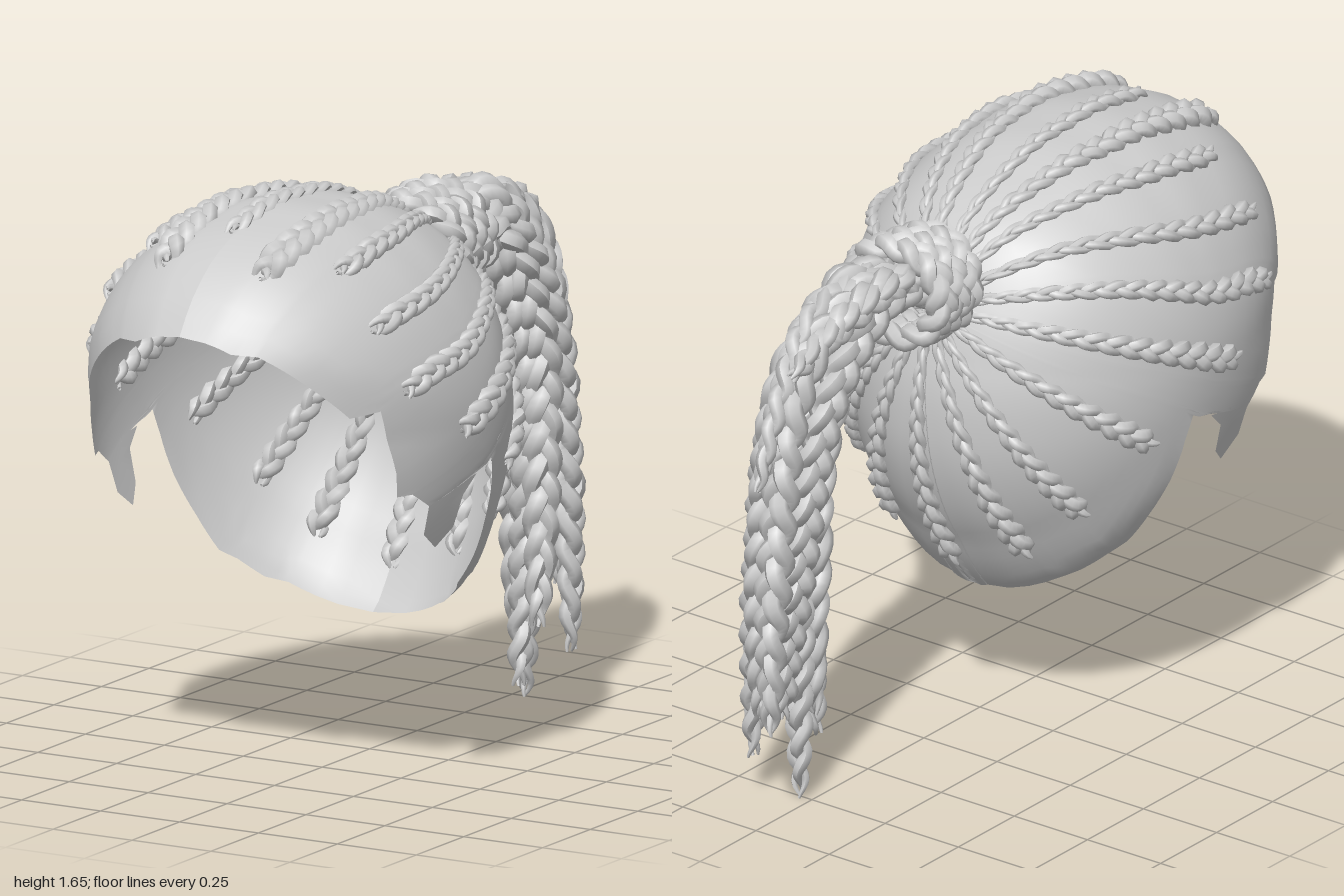
import * as THREE from 'three';

const V = (x, y, z) => new THREE.Vector3(x, y, z);
const material = new THREE.MeshStandardMaterial({ color: 0xcccccc, side: THREE.DoubleSide });
const CZ = 0.35, CY = 1.05, HALF_WIDTH = 0.55;

// Middle outline of the head as [z, y], from below the face over the top to the nape
const outline = [[0.55, 0.36], [0.85, 0.55], [1.0, 1.05], [1.0, 1.35], [0.935, 1.44], [0.84, 1.52], [0.75, 1.565], [0.6, 1.6],
  [0.35, 1.612], [0.1, 1.565], [-0.08, 1.475], [-0.19, 1.32], [-0.25, 1.15], [-0.275, 0.95], [-0.24, 0.74], [-0.15, 0.56],
  [-0.03, 0.38], [0.2, 0.34]]
  .map(([z, y]) => {
    const a = Math.atan2(y - CY, z - CZ);
    return [a < -Math.PI / 2 ? a + Math.PI * 2 : a, Math.hypot(z - CZ, y - CY)];
  });

// Radius of the outline at an angle around the head centre
function radius(angle) {
  const a = angle < outline[0][0] ? angle + Math.PI * 2 : angle;
  for (let i = 1; i < outline.length; i++) {
    const [a0, r0] = outline[i - 1], [a1, r1] = outline[i];
    if (a <= a1) return r0 + (r1 - r0) * (a - a0) / (a1 - a0);
  }
  return outline[outline.length - 1][1];
}

// Side position [z, y] to a unit sphere direction, and back to the head surface
function toSphere(z, y, side = 1) {
  const a = Math.atan2(y - CY, z - CZ);
  const s = Math.min(1, Math.hypot(z - CZ, y - CY) / radius(a));
  return V(side * Math.sqrt(1 - s * s), s * Math.sin(a), s * Math.cos(a));
}
function toHead(q, lift = 1) {
  const r = radius(Math.atan2(q.y, q.z)) * lift;
  return V(q.x * HALF_WIDTH * lift, CY + q.y * r, CZ + q.z * r);
}
const root = toSphere(-0.22, 1.28).setX(0).normalize();
function arc(end, t) {
  const w = root.angleTo(end);
  return root.clone().multiplyScalar(Math.sin((1 - t) * w) / Math.sin(w)).addScaledVector(end, Math.sin(t * w) / Math.sin(w));
}

function surface(name, pos, index) {
  const g = new THREE.BufferGeometry();
  g.setAttribute('position', new THREE.Float32BufferAttribute(pos, 3));
  g.setIndex(index);
  g.computeVertexNormals();
  const mesh = new THREE.Mesh(g, material);
  mesh.name = name;
  return mesh;
}

// Hair cap fanned out from the tie to a ragged hairline
function makeCap() {
  const hairline = [[1.0, 1.35], [0.98, 1.315], [0.95, 1.31], [0.88, 1.23], [0.79, 1.13], [0.71, 1.14], [0.69, 1.06], [0.66, 0.96],
    [0.65, 0.89], [0.6, 0.89], [0.53, 0.845], [0.25, 0.93], [0.23, 0.86], [0.21, 0.74], [0.18, 0.63],
    [0.165, 0.54], [0.12, 0.51], [0.08, 0.46], [0.03, 0.44], [-0.02, 0.37], [-0.05, 0.41]];
  const ends = [];
  for (let i = 0; i < hairline.length - 1; i++)
    for (let k = 0; k < 4; k++) {
      const [z0, y0] = hairline[i], [z1, y1] = hairline[i + 1];
      ends.push(toSphere(z0 + (z1 - z0) * k / 4, y0 + (y1 - y0) * k / 4));
    }
  ends[0].setX(0).normalize();
  ends.push(toSphere(-0.05, 0.41).setX(0).normalize());
  for (let i = ends.length - 2; i >= 0; i--) ends.push(ends[i].clone().multiply(V(-1, 1, 1)));

  const rows = 28, pos = [], index = [];
  ends.forEach((end, i) => {
    for (let j = 0; j <= rows; j++) {
      pos.push(...toHead(arc(end, j / rows)).toArray());
      if (i < ends.length - 1 && j < rows) {
        const a = i * (rows + 1) + j, b = a + rows + 1;
        index.push(a, a + 1, b, a + 1, b + 1, b);
      }
    }
  });
  return surface('hairCap', pos, index);
}

// Sideburn hanging in front of the ear, as a fan around its middle
function makeSideburn(side) {
  const rim = [[0.53, 0.85], [0.52, 0.76], [0.45, 0.71], [0.395, 0.76], [0.385, 0.85], [0.33, 0.9], [0.42, 0.89]];
  const pos = [[0.45, 0.83], ...rim].flatMap(([z, y]) => toHead(toSphere(z, y, side)).toArray());
  const index = rim.flatMap((_, i) => {
    const a = i + 1, b = (i + 1) % rim.length + 1;
    return side > 0 ? [0, b, a] : [0, a, b];
  });
  return surface(side > 0 ? 'leftSideburn' : 'rightSideburn', pos, index);
}

// One of the three strands woven around a base path
class Strand extends THREE.Curve {
  constructor(path, facing, width, turns, phase) {
    super();
    Object.assign(this, { path, facing, width, turns, phase });
  }
  getUtoTmapping(u) { return u; }
  getPoint(t) {
    const p = this.path.getPointAt(t), tan = this.path.getTangentAt(t);
    const side = tan.clone().cross(this.facing(p, tan)).normalize();
    const out = side.clone().cross(tan).normalize();
    const f = t * this.turns * Math.PI * 2 + this.phase, w = this.width(t);
    return p.addScaledVector(side, 0.54 * w * Math.sin(f)).addScaledVector(out, 0.34 * w * Math.sin(2 * f));
  }
}

// Three-strand braid; width is the half width along the path, facing its outward side
function makeBraid(name, path, facing, width, period, taper = true) {
  const group = new THREE.Group();
  group.name = name;
  const turns = Math.max(3, Math.round(path.getLength() / period)), segments = turns * 20;
  for (let k = 0; k < 3; k++) {
    const g = new THREE.TubeGeometry(new Strand(path, facing, width, turns, k * Math.PI * 2 / 3), segments, 0.001, 6);
    const p = g.attributes.position, n = g.attributes.normal;
    for (let i = 0; i < p.count; i++) {
      const t = Math.floor(i / 7) / segments;
      const tip = taper ? Math.min(1, 0.2 + (1 - t) * 14) : 1;
      const r = width(t) * 0.52 * tip;
      p.setXYZ(i, p.getX(i) + n.getX(i) * r, p.getY(i) + n.getY(i) * r, p.getZ(i) + n.getZ(i) * r);
    }
    g.computeVertexNormals();
    const mesh = new THREE.Mesh(g, material);
    mesh.name = 'strand';
    group.add(mesh);
  }
  return group;
}

export function createModel() {
  const model = new THREE.Group();
  model.name = 'braidedHair';
  model.add(makeCap(), makeSideburn(1), makeSideburn(-1));

  // Braids lying on the cap, ending at side positions [z, y] with a half width
  const headOut = p => V(p.x, p.y - CY, p.z - CZ).normalize();
  const capBraid = (end, thick) => {
    const pts = [];
    for (let i = 0; i <= 12; i++) pts.push(toHead(arc(end, 0.03 + 0.97 * i / 12), 1.005));
    model.add(makeBraid('capBraid', new THREE.CatmullRomCurve3(pts), headOut, t => 0.012 + (thick - 0.012) * Math.min(1, t * 1.2), 0.2));
  };
  const pairs = [[0.83, 1.495, 0.046], [0.66, 1.495, 0.033], [0.68, 1.35, 0.033], [0.64, 1.18, 0.036], [0.43, 1.04, 0.04],
    [0.12, 0.88, 0.036], [-0.02, 0.69, 0.036], [-0.08, 0.55, 0.038]];
  for (const side of [1, -1]) for (const [z, y, thick] of pairs) capBraid(toSphere(z, y, side), thick);
  capBraid(toSphere(0.7, 1.57).setX(-0.03).normalize(), 0.03);
  capBraid(toSphere(-0.11, 0.48).setX(0).normalize(), 0.036);

  // Braided tie wound around the root of the ponytail
  for (let k = 0; k < 3; k++) {
    const centre = V(0.01, 1.36 + k * 0.004, -0.235 - k * 0.055);
    const up = V(0, 0.95, 0.36 - k * 0.13).normalize(), pts = [];
    for (let i = 0; i < 16; i++) {
      const a = i * Math.PI / 8;
      pts.push(centre.clone().add(V(0.145 * Math.cos(a), 0, 0)).addScaledVector(up, 0.125 * Math.sin(a)));
    }
    model.add(makeBraid('tieBraid', new THREE.CatmullRomCurve3(pts, true), p => p.clone().sub(centre).normalize(), () => 0.046, 0.22, false));
  }

  // Ponytail braids as [x, y, z] waypoints from the tie to the tip
  const tails = [
    [[0.09, 1.32, -0.46], [0.13, 1.0, -0.6], [0.14, 0.55, -0.6], [0.14, 0.08, -0.55]],
    [[0.13, 1.35, -0.46], [0.17, 1.05, -0.61], [0.19, 0.65, -0.59], [0.22, 0.26, -0.52]],
    [[0.0, 1.36, -0.48], [0.02, 1.1, -0.66], [0.04, 0.6, -0.7], [0.05, 0.22, -0.68]],
    [[0.05, 1.41, -0.5], [0.07, 1.12, -0.71], [0.05, 0.6, -0.75], [0.04, 0.0, -0.75]],
    [[0.09, 1.42, -0.52], [0.12, 1.15, -0.74], [0.14, 0.6, -0.81], [0.14, 0.12, -0.83]],
    [[-0.05, 1.41, -0.5], [-0.04, 1.2, -0.72], [-0.01, 0.7, -0.83], [0.05, 0.25, -0.82]],
    [[0.03, 1.45, -0.54], [0.06, 1.27, -0.78], [0.06, 0.7, -0.89], [0.06, 0.28, -0.9]],
    [[-0.02, 1.45, -0.52], [-0.01, 1.3, -0.8], [-0.01, 0.75, -0.93], [-0.01, 0.27, -0.95]],
    [[0.04, 1.45, -0.5], [0.05, 1.39, -0.72], [0.02, 1.23, -0.87], [0.01, 1.0, -0.98]],
    [[-0.06, 1.44, -0.48], [-0.05, 1.41, -0.64], [-0.03, 1.36, -0.77], [-0.05, 1.33, -0.91]],
  ];
  tails.forEach((points, i) => {
    const x = points[0][0];
    const path = new THREE.CatmullRomCurve3([V(x * 0.5, 1.34, -0.24), V(x * 0.8, 1.39 + (points[0][1] - 1.4) * 0.5, -0.35), ...points.map(p => V(...p))]);
    const spin = i * 0.7;
    const facing = (p, tan) => V(Math.cos(spin), 0, 0).addScaledVector(tan.clone().cross(V(1, 0, 0)), Math.sin(spin));
    const thick = i < 8 ? 0.052 : 0.04;
    model.add(makeBraid('ponytailBraid', path, facing, t => thick * (t < 0.75 ? 1 : 1 - (t - 0.75) * 1.6), 0.27));
  });
  return model;
}
